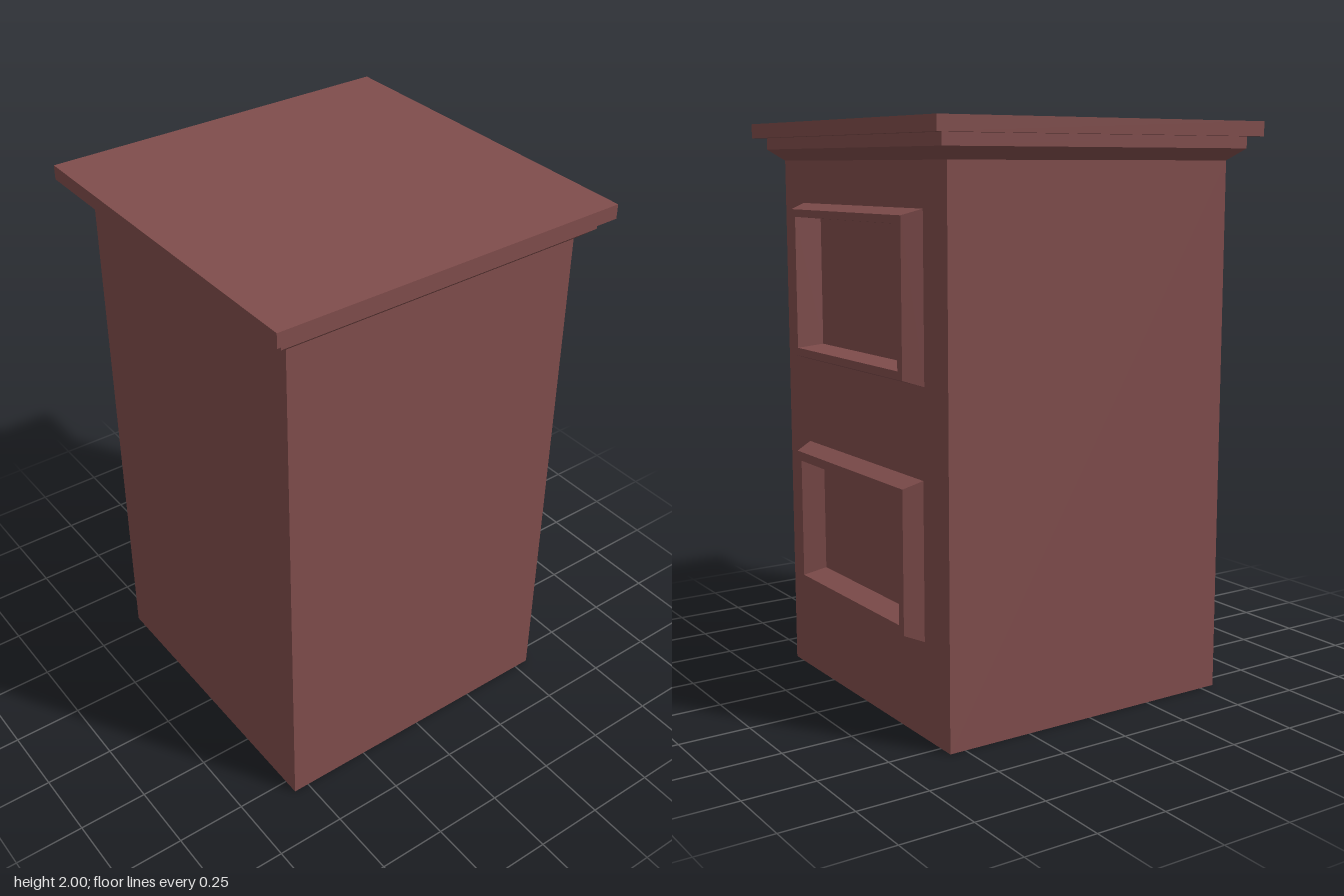
import * as THREE from 'three';

const HALF = 0.557;      // half width of the cabinet body
const BODY_TOP = 1.87;

// Flat-faced skin joining rings of four corners, closed by the last ring.
function ringSkin(rings) {
  const pos = [];
  const tri = (...corners) => corners.forEach((c) => pos.push(...c));
  for (let r = 0; r + 1 < rings.length; r++) {
    const a = rings[r], b = rings[r + 1];
    for (let i = 0; i < 4; i++) {
      const j = (i + 1) % 4;
      tri(a[i], a[j], b[j]);
      tri(a[i], b[j], b[i]);
    }
  }
  const end = rings[rings.length - 1];
  tri(end[0], end[1], end[2]);
  tri(end[0], end[2], end[3]);
  const geo = new THREE.BufferGeometry();
  geo.setAttribute('position', new THREE.Float32BufferAttribute(pos, 3));
  geo.computeVertexNormals();
  return geo;
}

// Each panel steps inward: [x, half width, bottom, top]
const panels = {
  upperPanel: [
    [HALF, 0.414, 1.167, 1.722],
    [0.62, 0.385, 1.188, 1.702],
    [0.62, 0.355, 1.215, 1.676],
    [0.525, 0.346, 1.224, 1.668],
  ],
  lowerPanel: [
    [HALF, 0.403, 0.33, 0.864],
    [0.62, 0.378, 0.355, 0.839],
    [0.62, 0.348, 0.383, 0.807],
    [0.545, 0.318, 0.407, 0.785],
  ],
};

export function createModel() {
  const model = new THREE.Group();
  model.name = 'cabinet';
  const wood = new THREE.MeshStandardMaterial({ color: 0x804d4c });
  wood.name = 'reddish brown wood';

  const add = (name, geo) => {
    const mesh = new THREE.Mesh(geo, wood);
    mesh.name = name;
    model.add(mesh);
    return mesh;
  };

  // Body, without the +x side (the panelled wall goes there)
  const body = new THREE.BoxGeometry(HALF * 2, BODY_TOP, HALF * 2);
  body.setIndex(Array.from(body.index.array).slice(6));
  add('body', body).position.y = BODY_TOP / 2;

  // Panelled wall with an opening for each panel
  const wall = new THREE.Shape([
    new THREE.Vector2(-HALF, 0),
    new THREE.Vector2(HALF, 0),
    new THREE.Vector2(HALF, BODY_TOP),
    new THREE.Vector2(-HALF, BODY_TOP),
  ]);

  for (const [name, steps] of Object.entries(panels)) {
    const [, w, lo, hi] = steps[0];
    wall.holes.push(new THREE.Path([
      new THREE.Vector2(-w, lo),
      new THREE.Vector2(-w, hi),
      new THREE.Vector2(w, hi),
      new THREE.Vector2(w, lo),
    ]));
    // Raised bevelled frame with a recessed floor
    add(name, ringSkin(steps.map(([x, h, y0, y1]) => [
      [x, y0, h], [x, y0, -h], [x, y1, -h], [x, y1, h],
    ])));
  }

  const wallMesh = add('panelledWall', new THREE.ShapeGeometry(wall));
  wallMesh.rotation.y = Math.PI / 2;
  wallMesh.position.x = HALF;

  // Cornice: flared underside, then a straight band: [half width, y]
  const cornice = [[HALF, BODY_TOP], [0.605, 1.91], [0.605, 1.952]];
  add('cornice', ringSkin(cornice.map(([h, y]) => [
    [-h, y, h], [h, y, h], [h, y, -h], [-h, y, -h],
  ])));

  // Top slab
  add('topSlab', new THREE.BoxGeometry(1.29, 0.05, 1.29)).position.y = 1.975;

  return model;
}
